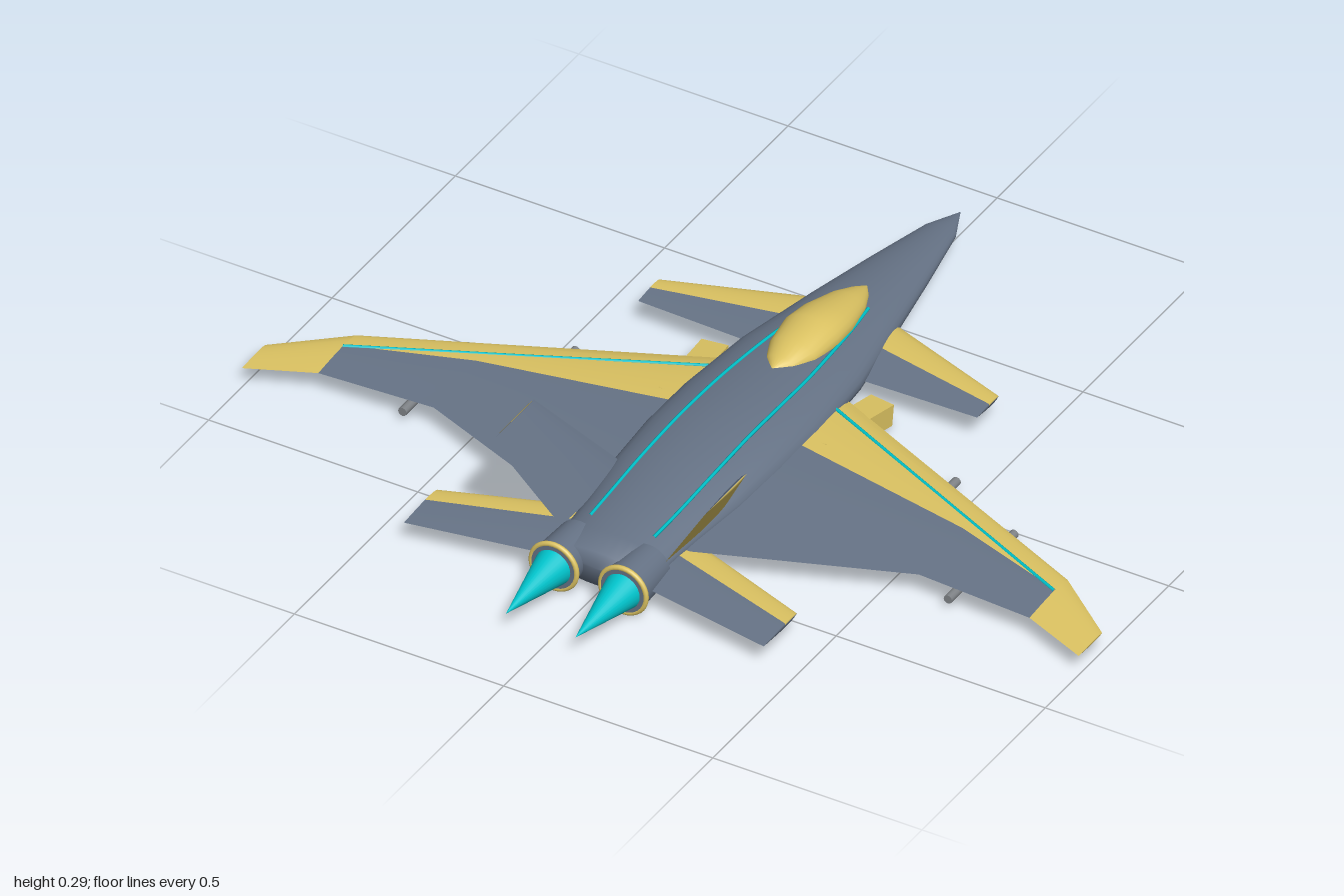
import * as THREE from 'three';

const paint = (color) => new THREE.MeshStandardMaterial({ color });
const GREY = paint(0x667386), GOLD = paint(0xdcc362), TEAL = paint(0x00c4cc), STEEL = paint(0x808488);

// Grid of points (rows x cols) turned into a smooth surface
function gridSurface(rows, flip) {
  const n = rows[0].length, index = [];
  for (let i = 0; i < rows.length - 1; i++) {
    for (let j = 0; j < n - 1; j++) {
      const a = i * n + j, b = a + n;
      if (flip) index.push(a, b, a + 1, a + 1, b, b + 1);
      else index.push(a, a + 1, b, a + 1, b + 1, b);
    }
  }
  const geo = new THREE.BufferGeometry();
  geo.setAttribute('position', new THREE.Float32BufferAttribute(rows.flat(2), 3));
  geo.setIndex(index);
  geo.computeVertexNormals();
  return geo;
}

// Body lofted along z from elliptic sections [z, bottom, top, halfWidth]
function loft(sections, sides = 32) {
  const rows = sections.map(([z, lo, hi, w]) => Array.from({ length: sides + 1 }, (_, k) => {
    const a = (k / sides) * Math.PI * 2;
    return [w * Math.sin(a), (lo + hi) / 2 - ((hi - lo) / 2) * Math.cos(a), z];
  }));
  const [z, lo, hi] = sections[sections.length - 1];
  rows.push(rows[0].map(() => [0, (lo + hi) / 2, z + 0.002]));
  return gridSurface(rows, false);
}

// One side of an aerofoil between chord fractions t0 and t1.
// Sections are [x, y, leadingZ, trailingZ, halfThickness]; side is +1 upper, -1 lower.
function skin(sections, t0, t1, side, normal = [0, 1], closeTip = true) {
  const list = sections.slice();
  if (closeTip) list.push([...list[list.length - 1].slice(0, 4), 0]);
  const steps = 10;
  const rows = list.map(([x, y, z0, z1, h]) => Array.from({ length: steps + 1 }, (_, k) => {
    const t = t0 + ((t1 - t0) * k) / steps;
    const d = side * h * Math.sin(Math.PI * Math.pow(t, 0.6));
    return [x + d * normal[0], y + d * normal[1], z0 + (z1 - z0) * t];
  }));
  return gridSurface(rows, side < 0);
}

function mirrored(geo) {
  const g = geo.clone().applyMatrix4(new THREE.Matrix4().makeScale(-1, 1, 1));
  const ix = g.index.array;
  for (let i = 0; i < ix.length; i += 3) [ix[i], ix[i + 1]] = [ix[i + 1], ix[i]];
  return g;
}

export function createModel() {
  const model = new THREE.Group();
  model.name = 'jetFighter';
  const add = (name, geo, mat) => {
    const mesh = new THREE.Mesh(geo, mat);
    mesh.name = name;
    model.add(mesh);
  };
  const pair = (name, geo, mat) => {
    add(name + 'Left', geo, mat);
    add(name + 'Right', mirrored(geo), mat);
  };

  // Fuselage and canopy
  const body = [
    [-0.85, 0.055, 0.057, 0.001], [-0.77, 0.043, 0.073, 0.037], [-0.6, 0.034, 0.092, 0.073],
    [-0.42, 0.026, 0.11, 0.108], [-0.2, 0.018, 0.126, 0.148], [0, 0.012, 0.137, 0.163],
    [0.15, 0.01, 0.14, 0.163], [0.3, 0.011, 0.133, 0.154], [0.45, 0.013, 0.122, 0.133],
    [0.56, 0.018, 0.115, 0.124], [0.625, 0.024, 0.108, 0.12],
  ];
  add('fuselage', loft(body), GREY);
  add('canopy', loft([
    [-0.47, 0.1, 0.106, 0.003], [-0.44, 0.09, 0.12, 0.024], [-0.39, 0.08, 0.138, 0.045],
    [-0.31, 0.08, 0.157, 0.062], [-0.245, 0.08, 0.166, 0.066], [-0.17, 0.085, 0.156, 0.056],
    [-0.12, 0.1, 0.143, 0.034], [-0.088, 0.12, 0.132, 0.004],
  ], 24), GOLD);

  // Wings, canards and tailplanes: gold leading panel on the upper side
  const surfaces = {
    wing: [0.33, [[0.1, 0.07, -0.165, 0.495, 0.02], [0.58, 0.061, 0.04, 0.3, 0.011],
      [0.85, 0.056, 0.155, 0.31, 0.007]]],
    canard: [0.45, [[0.08, 0.07, -0.43, -0.218, 0.011], [0.405, 0.066, -0.32, -0.232, 0.005]]],
    tailplane: [0.36, [[0.1, 0.06, 0.425, 0.622, 0.011], [0.43, 0.056, 0.54, 0.675, 0.005]]],
  };
  for (const [name, [split, sections]] of Object.entries(surfaces)) {
    pair(name + 'LeadingPanel', skin(sections, 0, split, 1), GOLD);
    pair(name + 'Top', skin(sections, split, 1, 1), GREY);
    pair(name + 'Underside', skin(sections, 0, 1, -1), GREY);
  }

  // Swept gold wing tips
  const tip = [[0.85, 0.056, 0.155, 0.31, 0.007], [1, 0.048, 0.27, 0.365, 0.003]];
  pair('wingTipTop', skin(tip, 0, 1, 1), GOLD);
  pair('wingTipUnderside', skin(tip, 0, 1, -1), GOLD);

  // Canted fins: grey inside, gold outside
  const fin = [[0.125, 0.085, 0.3, 0.555, 0.007], [0.255, 0.29, 0.445, 0.615, 0.004]];
  const inward = [-0.84, 0.54];
  pair('finInside', skin(fin, 0, 1, 1, inward), GREY);
  pair('finOutside', skin(fin, 0, 1, -1, inward), GOLD);

  // Angled intake boxes
  const intake = new THREE.BoxGeometry(0.06, 0.05, 0.23);
  intake.rotateX(-0.12).rotateY(-0.13).translate(0.185, 0.048, -0.08);
  pair('intake', intake, GOLD);

  // Engines with ring and exhaust flame
  const ex = 0.083, ey = 0.06;
  pair('nozzle', new THREE.CylinderGeometry(0.054, 0.05, 0.11, 28).rotateX(Math.PI / 2).translate(ex, ey, 0.605), GREY);
  pair('nozzleRing', new THREE.TorusGeometry(0.054, 0.006, 10, 32).translate(ex, ey, 0.655), GOLD);
  pair('exhaustFlame', new THREE.ConeGeometry(0.043, 0.195, 28).rotateX(Math.PI / 2).translate(ex, ey, 0.7525), TEAL);

  // Missiles below the wings
  for (const [name, x, z] of [['innerMissile', 0.455, 0.07], ['outerMissile', 0.652, 0.17]]) {
    pair(name, new THREE.CylinderGeometry(0.01, 0.01, 0.27, 12).rotateX(Math.PI / 2).translate(x, 0.027, z), STEEL);
  }

  // Glowing strips along the spine and the wings
  const topAt = (x, z) => {
    const i = body.findIndex((s) => s[0] > z), a = body[i - 1], b = body[i];
    const k = (z - a[0]) / (b[0] - a[0]);
    const [, lo, hi, w] = a.map((v, j) => v + (b[j] - v) * k);
    return (lo + hi) / 2 + ((hi - lo) / 2) * Math.sqrt(1 - (x / w) ** 2);
  };
  const strip = (points, r) =>
    new THREE.TubeGeometry(new THREE.CatmullRomCurve3(points), 48, r, 6);
  const spine = [[0.046, -0.4], [0.06, -0.3], [0.07, -0.2], [0.077, -0.1], [0.08, 0], [0.081, 0.15],
    [0.081, 0.3], [0.079, 0.42], [0.076, 0.52]];
  pair('spineStrip', strip(spine.map(([x, z]) => new THREE.Vector3(x, topAt(x, z), z)), 0.004), TEAL);
  pair('wingStrip', strip([new THREE.Vector3(0.13, 0.083, -0.1), new THREE.Vector3(0.49, 0.072, 0.055),
    new THREE.Vector3(0.85, 0.063, 0.21)], 0.004), TEAL);

  return model;
}
